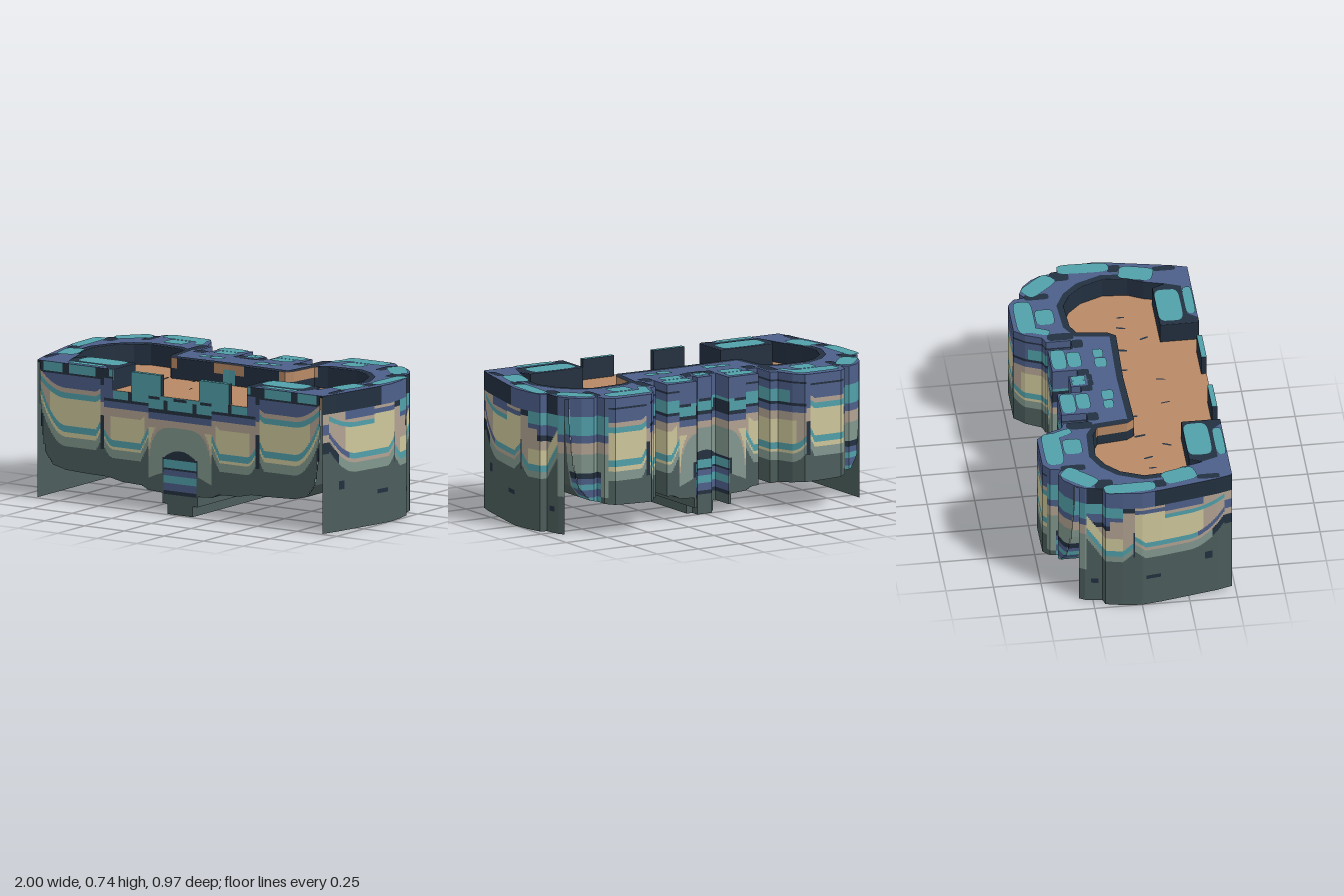
import * as THREE from 'three';

const TOP = 0.73, FLOOR = 0.62;
const COLORS = {
  slate: 0x4c5e5c, sage: 0x82988f, sand: 0xcec79b, taupe: 0xb2a392,
  teal: 0x51a0aa, blue: 0x4d5f8a, navy: 0x233040, clay: 0xb88966,
};

// Half plan of the outer wall (x, z): back centre, round the side, to the front centre
const OUTER = [[0, -.25], [.045, -.25], [.045, -.2], [.095, -.2], [.095, -.33], [.28, -.33], [.28, -.2],
  [.35, -.2], [.35, -.33], [.39, -.345], [.425, -.43], [.47, -.485], [.69, -.485], [.735, -.45], [.745, -.39],
  [.78, -.415], [.84, -.39], [.89, -.34], [.92, -.29], [.935, -.2], [.97, -.19], [.99, -.1], [1, 0],
  [.985, .1], [.965, .2], [.945, .3], [.925, .4], [.9, .485], [0, .485]];
// Half plan of the sunken court
const INNER = [[0, .03], [.36, .04], [.39, 0], [.41, -.16], [.47, -.19], [.65, -.2], [.73, -.16],
  [.8, -.09], [.85, .03], [.84, .16], [.8, .24], [.77, .35], [.74, .28], [.42, .28], [.42, .485]];
// Underside height against distance from the centre line
const BOTTOM = [[0, 0], [.08, 0], [.08, .055], [.11, .055], [.11, .11], [.2, .115], [.24, .135], [.37, .14],
  [.45, .157], [.6, .16], [.72, .165], [.8, .185], [.85, .25], [.872, .38], [.887, .6], [.887, .72],
  [.9, .72], [.9, 0], [1, 0]];

function bottomAt(a) {
  for (let i = 1; i < BOTTOM.length; i++) {
    const [p, q] = [BOTTOM[i - 1], BOTTOM[i]];
    if (a >= p[0] && a <= q[0] && q[0] > p[0]) return p[1] + (q[1] - p[1]) * (a - p[0]) / (q[0] - p[0]);
  }
  return 0;
}

// Front-to-back extent of the plan at a given x
function spanAt(a) {
  const zs = [];
  for (let i = 1; i < OUTER.length; i++) {
    const [p, q] = [OUTER[i - 1], OUTER[i]];
    if (p[0] !== q[0] && (p[0] - a) * (q[0] - a) <= 0) zs.push(p[1] + (q[1] - p[1]) * (a - p[0]) / (q[0] - p[0]));
  }
  return [Math.min(...zs), Math.max(...zs)];
}

// Painted layers, listed upwards as [top height, colour], on the front and back
function faceBands(a, front) {
  const cap = color => [TOP, front ? color : 'blue'];
  if (a < .2) {
    const arch = .22 + .24 * Math.sqrt(1 - (a / .2) ** 4);
    const door = a < .1 ? [[.105, 'slate'], [.125, 'navy'], [.165, 'blue'], [.205, 'teal'], [.235, 'blue'],
      [.245, 'navy'], [.29, 'teal'], [.34 - .04 * (a / .1) ** 2, 'navy']]
      : [[.22 - (a - .1) * .4, 'slate'], [a < .115 ? .3 : 0, 'navy']];
    return [...door, [arch, 'sage'], [arch + .035, 'taupe'], [.45, 'sand'], [.495, 'taupe'], [.53, 'blue'],
      [a > .08 && a < .1 ? .6 : .55, 'navy'], [.6, 'teal'], [.615, a < .04 || a > .13 ? 'navy' : 'teal'], cap('teal')];
  }
  if (a < .48) {
    const r = .09 * Math.max(0, (.25 - a) / .05) + .06 * Math.max(0, (a - .42) / .06) ** 2;
    return [[.26 + r, 'slate'], [.305 + r, 'sage'], [.32 + r, 'sand'], [.355 + r, 'teal'],
      [.48 + r / 2, a < .44 && a > .22 ? 'sand' : 'taupe'], [.525, 'taupe'], [.56, 'blue'],
      [a > .3 && a < .33 ? .64 : .575, 'navy'], [.64, a < .42 ? 'teal' : 'blue'], [.68, 'blue'],
      [.69, 'navy'], cap(a < .45 ? 'teal' : 'navy')];
  }
  if (a < .5) return [[.3, 'slate'], [.48, 'navy'], [.55, 'taupe'], [.64, 'blue'], cap('navy')];
  const r = .2 * Math.max(0, (a - .72) / .16) ** 2 + .05 * Math.max(0, (.53 - a) / .03);
  return [[a > .862 ? .45 : 0, 'navy'], [.29 + r, 'slate'], [.34 + r, 'sage'], [.365 + r, 'sand'], [.4 + r, 'teal'],
    [.545 + r * .4, a > .82 ? 'taupe' : 'sand'], [.575 + r * .4, 'teal'], [.6 + r * .4, 'taupe'], [.67, 'blue'],
    [.68, 'navy'], cap(a > .53 && a < .86 && Math.abs(a - .72) > .02 ? 'teal' : 'navy')];
}

// The same layers on the flanks
function flankBands(z) {
  const cap = [TOP, z > .07 || (z < -.2 && z > -.28) ? 'navy' : 'blue'];
  if (z > .445) return [[.42, 'slate'], [.48, 'navy'], [.52, 'taupe'], [.575, 'blue'], [.63, 'taupe'], cap];
  if (z > -.035) {
    const r = .13 * Math.max(0, (z - .25) / .19) ** 2 + .05 * Math.max(0, (.02 - z) / .06);
    const spot = z > .02 && z < .1 ? [[.163, 'slate'], [.185, 'navy']]
      : z > .34 && z < .38 ? [[.22, 'slate'], [.265, 'navy']] : [];
    return [...spot, [.3 + r, 'slate'], [.35 + r, z > .38 ? 'navy' : 'sage'], [.37 + r, 'taupe'],
      [.4 + r, z > .3 ? 'blue' : 'teal'], [.54 + r * .4, z > .33 ? 'taupe' : 'sand'],
      [z < .12 ? .59 : .565 + r * .4, z < .12 ? 'sand' : 'teal'],
      [z < .12 ? .615 : .585, z < .12 ? 'blue' : 'taupe'], [.63, z < .12 || z > .33 ? 'taupe' : 'blue'], cap];
  }
  if (z > -.28) {
    const r = .12 * Math.max(0, (-.2 - z) / .08) + .06 * Math.max(0, (z + .1) / .06);
    const spot = z < -.22 && z > -.26 ? [[.113, 'slate'], [.14, 'navy']] : z > -.05 ? [[.31, 'slate'], [.47, 'navy']] : [];
    return [...spot, [.28 + r, 'slate'], [.315 + r, 'sage'], [.35 + r, 'teal'], [.43 + r, z > -.1 ? 'taupe' : 'sand'],
      [z < -.17 ? .48 : .54, 'taupe'], [z < -.17 ? .51 : 0, 'navy'], [z > -.1 ? .6 : .565, z > -.1 ? 'taupe' : 'blue'],
      [.63, z < -.1 ? 'teal' : 'navy'], cap];
  }
  const door = z < -.32 && z > -.42
    ? [[.17, 'slate'], [.2, 'teal'], [.24, 'blue'], [.27, 'teal'], [.3, 'blue'], [.33, 'navy']] : [[.2, 'slate']];
  return [...door, [.43, 'sage'], [.49, 'taupe'], [.53, 'blue'], [.63, 'teal'], cap];
}

export function createModel() {
  const group = new THREE.Group();
  const mats = {};
  for (const name in COLORS) {
    mats[name] = new THREE.MeshStandardMaterial({ color: COLORS[name] });
    mats[name].name = name;
  }
  const parts = {};

  // Each triangle is added together with its mirror image
  function tri(part, color, a, b, c) {
    const list = ((parts[part] ??= {})[color] ??= []);
    list.push(...a, ...b, ...c);
    for (const p of [a, c, b]) list.push(-p[0], p[1], p[2]);
  }
  function quad(part, color, a, b, c, d) {
    tri(part, color, a, b, c);
    tri(part, color, a, c, d);
  }
  // Level face looking up
  function flat(part, color, pts, y) {
    const v = pts.map(p => new THREE.Vector2(p[0], p[1]));
    for (const [i, j, k] of THREE.ShapeUtils.triangulateShape(v, [])) {
      const area = (v[j].x - v[i].x) * (v[k].y - v[i].y) - (v[j].y - v[i].y) * (v[k].x - v[i].x);
      const [a, b, c] = (area < 0 ? [i, j, k] : [i, k, j]).map(n => [v[n].x, y, v[n].y]);
      tri(part, color, a, b, c);
    }
  }
  // Walk along a path in short steps
  function steps(path, size, fn) {
    for (let i = 1; i < path.length; i++) {
      const [p, q] = [path[i - 1], path[i]];
      const n = Math.max(1, Math.ceil(Math.hypot(q[0] - p[0], q[1] - p[1]) / size));
      const at = t => [p[0] + (q[0] - p[0]) * t, p[1] + (q[1] - p[1]) * t];
      for (let k = 0; k < n; k++) fn(at(k / n), at((k + 1) / n));
    }
  }

  // Outer walls with painted layers
  steps(OUTER, .008, (p, q) => {
    const a = (p[0] + q[0]) / 2, z = (p[1] + q[1]) / 2;
    const flank = a > .72 && Math.abs(q[1] - p[1]) > .4 * Math.abs(q[0] - p[0]);
    const front = z > .484;
    const limit = front && a < .42 ? FLOOR : TOP;
    let y = bottomAt(a);
    for (const [top, color] of flank || a > .9 ? flankBands(z) : faceBands(a, front)) {
      const t = Math.min(top, limit);
      if (t <= y) continue;
      quad(flank ? 'sideWall' : front ? 'frontWall' : 'backWall', color,
        [p[0], y, p[1]], [p[0], t, p[1]], [q[0], t, q[1]], [q[0], y, q[1]]);
      y = t;
    }
  });

  // Underside, swept from back to front; its steep ends carry the flank layers
  steps(BOTTOM, .012, (p, q) => {
    const mid = Math.min((p[0] + q[0]) / 2, .9995), y = (p[1] + q[1]) / 2;
    const [z0, z1] = spanAt(mid);
    const sweep = (color, from, to) => quad('underside', color,
      [p[0], p[1], from], [q[0], q[1], from], [q[0], q[1], to], [p[0], p[1], to]);
    if (mid < .8 || mid > .89) return sweep('slate', z0, z1);
    for (let z = z0; z < -.3; z += .02)
      sweep(flankBands(z).find(b => b[0] > y)[1], z, Math.min(z + .02, -.3));
    sweep('slate', -.3, z1);
  });

  // Court walls, floor and the walkway round it
  steps(INNER, .02, (p, q) => {
    const a = (p[0] + q[0]) / 2, z = (p[1] + q[1]) / 2;
    const wall = (color, y0, y1) => quad('courtWall', color,
      [p[0], y0, p[1]], [q[0], y0, q[1]], [q[0], y1, q[1]], [p[0], y1, p[1]]);
    if (z < .05 && a < .42 && (a < .1 || a > .33)) {
      wall(a < .045 ? 'teal' : 'navy', FLOOR, .675);
      wall(a < .045 ? 'teal' : 'clay', .675, .7);
      wall('clay', .7, TOP);
    } else wall('navy', FLOOR, TOP);
  });
  flat('courtFloor', 'clay', [...INNER, [0, .485]], FLOOR);
  flat('walkway', 'blue', [...OUTER.slice(0, -1), ...[...INNER].reverse()], TOP);

  // Dark edging beside the court
  const edge = INNER.slice(0, 11).map((p, i, all) => {
    const a = all[Math.max(0, i - 1)], b = all[Math.min(all.length - 1, i + 1)];
    const dx = b[0] - a[0], dz = b[1] - a[1], l = Math.hypot(dx, dz);
    return [Math.max(0, p[0] + dz / l * .035), p[1] - dx / l * .035];
  });
  for (let i = 1; i < edge.length; i++) {
    const [a, b, c, d] = [INNER[i - 1], INNER[i], edge[i], edge[i - 1]].map(p => [p[0], TOP + .002, p[1]]);
    quad('courtEdging', 'navy', a, b, c, d);
  }
  flat('courtEdging', 'navy',
    [[.42, .28], [.74, .28], [.77, .35], [.74, .43], [.5, .435], [.46, .485], [.42, .485]], TOP + .002);

  // Rounded patches: x, z, width, depth, turn
  function patch(part, color, [x, z, w, d, turn = 0], y) {
    const pts = [];
    for (let i = 0; i < 20; i++) {
      const t = i / 20 * Math.PI * 2, c = Math.cos(t), s = Math.sin(t);
      const u = Math.sign(c) * Math.abs(c) ** .45 * w / 2, v = Math.sign(s) * Math.abs(s) ** .45 * d / 2;
      pts.push([x + u * Math.cos(turn) - v * Math.sin(turn), z + u * Math.sin(turn) + v * Math.cos(turn)]);
    }
    flat(part, color, pts, y);
  }
  for (const p of [[.74, -.33, .05, .13], [.9, -.19, .08, .1], [.93, .1, .06, .07], [.9, .36, .04, .12],
    [.315, -.17, .07, .06], [.385, -.25, .06, .14], [.07, -.17, .05, .06], [.025, -.145, .05, .03]])
    patch('merlonGap', 'navy', p, TOP + .003);
  for (const p of [[.57, -.415, .27, .1], [.45, -.37, .05, .15, .4], [.56, -.31, .13, .1], [.83, -.31, .2, .1, .85],
    [.95, -.06, .08, .27, .03], [.875, .21, .11, .18, .25], [.58, .345, .27, .13], [.61, .455, .23, .05],
    [.19, -.285, .165, .08], [.18, -.205, .13, .075], [.14, -.07, .08, .065], [.22, -.075, .07, .055],
    [.0195, -.205, .039, .075]]) patch('merlonTop', 'teal', p, TOP + .005);
  // Cracks in the court floor
  for (const p of [[.37, .07, .015, .06, .2], [.46, .2, .012, .05, -.4], [.56, .09, .012, .05, .3],
    [.2, .05, .012, .06], [.1, .24, .008, .05, .2], [.65, .1, .01, .04]]) patch('floorCrack', 'navy', p, FLOOR + .003);

  for (const part in parts) {
    const sub = new THREE.Group();
    sub.name = part;
    for (const color in parts[part]) {
      const geo = new THREE.BufferGeometry();
      geo.setAttribute('position', new THREE.Float32BufferAttribute(parts[part][color], 3));
      geo.computeVertexNormals();
      const mesh = new THREE.Mesh(geo, mats[color]);
      mesh.name = `${part} ${color}`;
      sub.add(mesh);
    }
    group.add(sub);
  }

  // Slim merlons on the front edge: teal fronts and tops, dark ends and backs
  const faces = ['navy', 'navy', 'teal', 'navy', 'teal', 'navy'].map(name => mats[name]);
  for (const s of [-1, 1]) {
    const m = new THREE.Mesh(new THREE.BoxGeometry(.19, TOP - FLOOR, .028), faces);
    m.position.set(s * .215, (TOP + FLOOR) / 2, .471);
    m.name = s > 0 ? 'leftFrontMerlon' : 'rightFrontMerlon';
    group.add(m);
  }
  return group;
}
